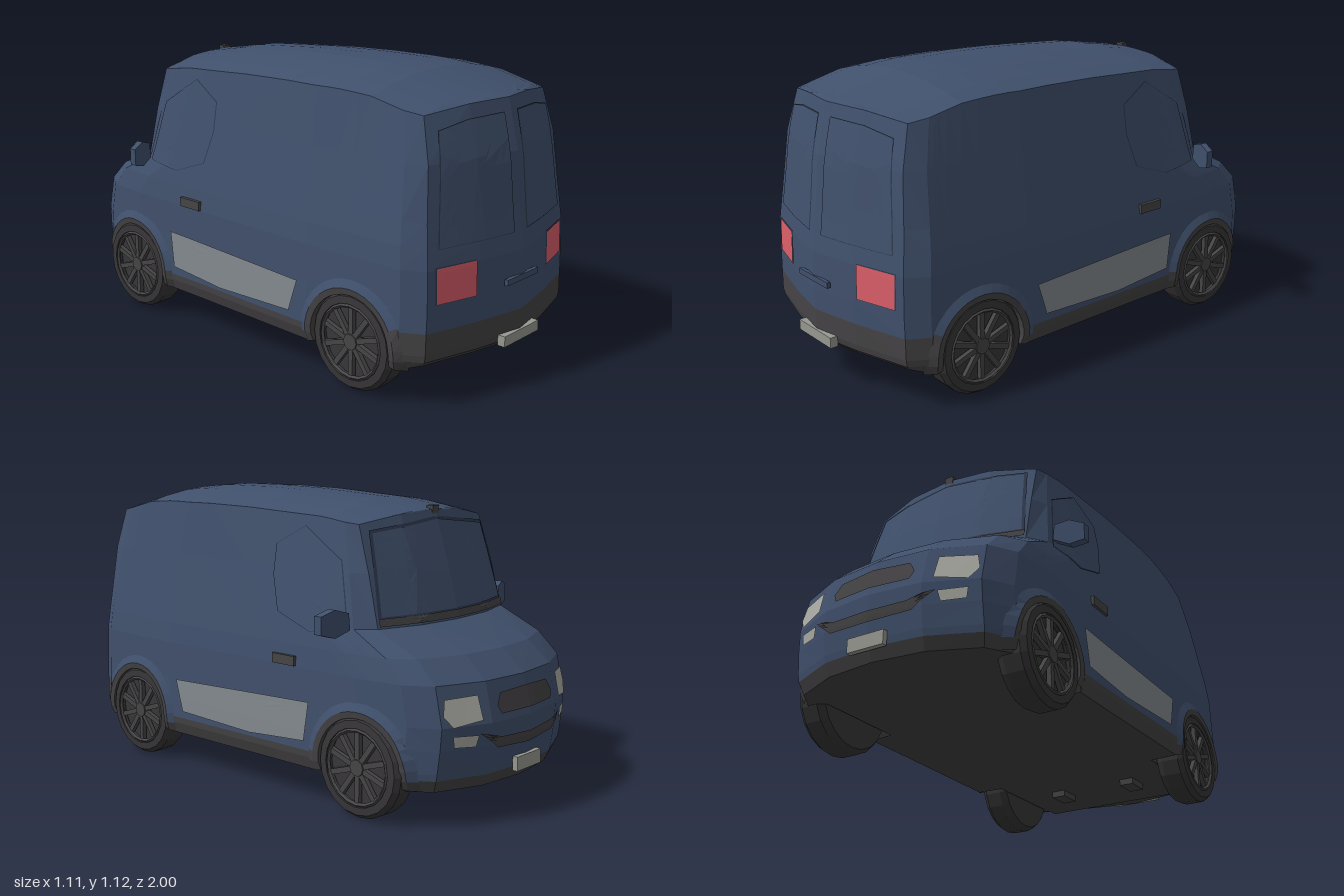
import * as THREE from 'three';

const mat = (name, color) => {
  const m = new THREE.MeshStandardMaterial({ color, flatShading: true, side: THREE.DoubleSide });
  m.name = name;
  return m;
};
const M = {
  paint: mat('blue paint', 0x40506c), trim: mat('dark plastic', 0x454345),
  tyre: mat('tyre rubber', 0x383638), rim: mat('rim metal', 0x464547),
  floor: mat('underbody black', 0x424142), red: mat('tail light red', 0xdb5e69),
  lamp: mat('lamp glass', 0xaaaaa4), panel: mat('side panel grey', 0x83898e),
  plate: mat('plate grey', 0x989892), seam: mat('seam blue', 0x2d394d),
};

// Piecewise linear lookup in [[key, values...], ...]
function look(t, k, col = 1) {
  if (k <= t[0][0]) return t[0][col];
  for (let i = 1; i < t.length; i++) {
    if (k <= t[i][0]) {
      const f = (k - t[i - 1][0]) / (t[i][0] - t[i - 1][0]);
      return t[i - 1][col] + f * (t[i][col] - t[i - 1][col]);
    }
  }
  return t[t.length - 1][col];
}

// Body rings: height, half width, nose z, tail z
const RINGS = [
  [0.13, 0.47, 0.955, 0.965], [0.175, 0.485, 0.975, 0.985], [0.2, 0.487, 0.98, 0.99], [0.28, 0.485, 0.99, 0.99],
  [0.36, 0.482, 0.995, 0.99], [0.5, 0.48, 0.96, 0.985], [0.58, 0.472, 0.87, 0.975],
  [0.66, 0.46, 0.675, 0.965], [0.85, 0.43, 0.62, 0.945], [1.04, 0.4, 0.56, 0.9],
];
// Plan outline: z fraction, x fraction at the waist, x fraction at the roof
const PLAN = [
  [-1, 0, 0], [-0.978, 0.42, 0.45], [-0.9, 0.8, 0.9], [-0.8, 0.93, 0.93], [-0.6, 0.975, 0.945], [-0.2, 0.98, 0.97],
  [0.4, 1, 1], [0.82, 0.965, 0.95], [0.9, 0.87, 0.9], [0.96, 0.42, 0.46], [1, 0, 0],
];
// Outline at a given height, as [z fraction, x fraction]
const planAt = (y) => {
  const t = Math.min(1, Math.max(0, (y - 0.58) / 0.46));
  return PLAN.map(([z, a, b]) => [z, a + (b - a) * t]);
};
// Roof centre line: z, y
const ROOF = [[-0.56, 1.055], [-0.35, 1.09], [0.1, 1.118], [0.45, 1.118], [0.6, 1.107], [0.9, 1.033]];
const roofY = (x, z) => look(ROOF, z) - 0.058 * (x / 0.395) ** 2;

const sideX = (y, z) => look(RINGS, y) * look(planAt(y), z / look(RINGS, y, z < 0 ? 2 : 3));
const endZ = (x, y, s) => {
  const plan = planAt(y);
  const end = (s < 0 ? plan.slice(0, 5) : plan.slice(6).reverse()).map(([z, f]) => [f, z]);
  return look(end, x / look(RINGS, y)) * look(RINGS, y, s < 0 ? 2 : 3);
};

const WHEEL_Z = 0.6, WHEEL_Y = 0.185, ARCH_R = 0.195;
const arch = (z) => {
  const d = Math.abs(Math.abs(z) - WHEEL_Z);
  return d < ARCH_R ? WHEEL_Y + Math.sqrt(ARCH_R ** 2 - d * d) : 0;
};
// Lower edge of the body, raised under the tail
const sillY = (c) => (c >= 0.9 ? 0.155 : 0.13);

function add(group, name, geometry, material, x = 0, y = 0, z = 0) {
  const m = new THREE.Mesh(geometry, material);
  m.name = name;
  m.position.set(x, y, z);
  group.add(m);
}
const box = (g, name, m, w, h, d, x, y, z) => add(g, name, new THREE.BoxGeometry(w, h, d), m, x, y, z);

function soup(quads) {
  const pos = [];
  for (const [a, b, c, d] of quads) pos.push(...a, ...b, ...c, ...a, ...c, ...d);
  const g = new THREE.BufferGeometry();
  g.setAttribute('position', new THREE.Float32BufferAttribute(pos, 3));
  g.computeVertexNormals();
  return g;
}
function gridQuads(rows) {
  const q = [];
  for (let i = 0; i + 1 < rows.length; i++)
    for (let j = 0; j + 1 < rows[i].length; j++)
      q.push([rows[i][j], rows[i + 1][j], rows[i + 1][j + 1], rows[i][j + 1]]);
  return q;
}

// Grow an outline about its middle
function grow(pts, d) {
  const cx = pts.reduce((s, p) => s + p[0], 0) / pts.length, cy = pts.reduce((s, p) => s + p[1], 0) / pts.length;
  return pts.map(([x, y]) => [cx + (x - cx) * d, cy + (y - cy) * d]);
}
// Thin plate that follows the body: a convex outline filled by shrinking rings
function decal(group, name, material, pts, map) {
  const n = pts.length, S = 5, rim = [];
  for (let i = 0; i < n; i++) {
    const a = pts[i], b = pts[(i + 1) % n];
    for (let k = 0; k < S; k++) rim.push([a[0] + (b[0] - a[0]) * k / S, a[1] + (b[1] - a[1]) * k / S]);
  }
  rim.push(rim[0]);
  const mid = grow(pts, 0)[0];
  const rows = [0, 0.25, 0.5, 0.75, 1].map((f) => rim.map(([x, y]) => map(mid[0] + (x - mid[0]) * f, mid[1] + (y - mid[1]) * f)));
  add(group, name, soup(gridQuads(rows)), material);
}
const onSide = (o) => (z, y) => [sideX(y, z) + o, y, z];
const onNose = (o) => (x, y) => [x, y, endZ(x, y, -1) - o];
const onTail = (o) => (x, y) => [x, y, endZ(x, y, 1) + o];
const rect = (x0, y0, x1, y1) => [[x0, y0], [x1, y0], [x1, y1], [x0, y1]];

function wheel(z) {
  const g = new THREE.Group();
  g.name = z < 0 ? 'frontWheel' : 'rearWheel';
  const turn = (geo) => geo.rotateZ(-Math.PI / 2);
  const profile = [[0, -0.055], [0.13, -0.06], [0.17, -0.065], [0.185, -0.038], [0.185, 0.03], [0.17, 0.05], [0.142, 0.052], [0.136, 0.025]];
  add(g, 'tyre', turn(new THREE.LatheGeometry(profile.map((p) => new THREE.Vector2(...p)), 20)), M.tyre);
  add(g, 'rimBack', turn(new THREE.CylinderGeometry(0.138, 0.138, 0.01, 20)), M.tyre, 0.018);
  add(g, 'rimRing', new THREE.TorusGeometry(0.134, 0.008, 4, 20).rotateY(Math.PI / 2), M.rim, 0.046);
  add(g, 'hub', turn(new THREE.CylinderGeometry(0.03, 0.038, 0.03, 10)), M.rim, 0.036);
  for (let i = 0; i < 10; i++) {
    const spoke = new THREE.BoxGeometry(0.018, 0.11, 0.02).translate(0.038, 0.08, 0).rotateX(i * Math.PI / 5);
    add(g, 'spoke', spoke, M.rim);
  }
  g.position.set(0.428, WHEEL_Y, z);
  return g;
}

function halfVan() {
  const h = new THREE.Group();
  // Body shell: columns run from nose to tail, rows from sill to roof
  const cols = [-0.3, 0, 0.25, ...PLAN.map((p) => p[0])];
  for (const s of [-1, 1])
    for (const o of [-0.2, -0.194, -0.18, -0.14, -0.075, 0, 0.075, 0.14, 0.18, 0.194, 0.2]) cols.push(s * WHEEL_Z + o);
  cols.sort((a, b) => a - b);
  const rows = RINGS.map(([y, w, zf, zr], i) => cols.map((c) => {
    const x = w * look(planAt(y), c), z = c * (c < 0 ? zf : zr);
    return [x, i === RINGS.length - 1 ? roofY(x, z) : Math.max(y, arch(c), sillY(c)), z];
  }));
  const top = rows[rows.length - 1];
  for (const f of [0.78, 0.5, 0.25, 0]) rows.push(top.map(([x, , z]) => [x * f, roofY(x * f, z), z]));
  const paint = [], trim = [], n = cols.length - 1;
  gridQuads(rows).forEach((q, k) => {
    const row = Math.floor(k / n), c = cols[k % n];
    (row === 0 || (row === 1 && c > -0.79) || (row === 2 && c > 0.78) ? trim : paint).push(q);
  });
  add(h, 'bodyShell', soup(paint), M.paint);
  add(h, 'bumpersAndSill', soup(trim), M.trim);

  // Underbody, notched at the wheels
  const floorZ = (c) => c * (c < 0 ? 0.955 : 0.965);
  add(h, 'floor', soup(gridQuads([
    cols.map((c) => [0, sillY(c), floorZ(c)]),
    cols.map((c) => [arch(c) ? 0.36 : 0.47 * look(PLAN, c), sillY(c), floorZ(c)]),
  ])), M.floor);
  box(h, 'wheelWellWall', M.floor, 0.355, 0.28, 1.7, 0.1775, 0.272, 0);
  box(h, 'axleMount', M.floor, 0.06, 0.05, 0.1, 0.165, 0.13, WHEEL_Z);

  for (const s of [-1, 1]) {
    h.add(wheel(s * WHEEL_Z));
    box(h, 'wheelWellRoof', M.floor, 0.44, 0.01, 0.4, 0.22, 0.395, s * WHEEL_Z);
    // Wheel arch: dark lip inside, painted bulge outside
    const ring = [[0.176, -0.05], [0.176, 0.01], [0.2, 0.014], [0.235, -0.002]].map(([r, o]) => {
      const line = [];
      for (let k = 0; k <= 20; k++) {
        const a = -0.25 + k / 20 * (Math.PI + 0.5);
        const y = Math.max(0.13, WHEEL_Y + r * Math.sin(a)), z = s * WHEEL_Z + r * Math.cos(a);
        line.push([sideX(y, z) + o, y, z]);
      }
      return line;
    });
    const bulge = gridQuads(ring.slice(2)), painted = (q) => q[0][1] > (s > 0 && q[0][2] > WHEEL_Z ? 0.27 : 0.2);
    add(h, 'archLip', soup([...gridQuads(ring.slice(0, 3)), ...bulge.filter((q) => !painted(q))]), M.trim);
    add(h, 'archBulge', soup(bulge.filter(painted)), M.paint);
  }

  // Side details
  const sideWindow = [[-0.28, 1], [-0.15, 0.93], [-0.15, 0.82], [-0.19, 0.69], [-0.35, 0.635], [-0.52, 0.65], [-0.46, 0.89]];
  decal(h, 'sideWindowSeal', M.seam, grow(sideWindow, 1.015), onSide(0.003));
  decal(h, 'sideWindow', M.paint, sideWindow, onSide(0.006));
  decal(h, 'sidePanel', M.panel, [[0.35, 0.355], [-0.37, 0.38], [-0.35, 0.235], [-0.07, 0.215], [0.31, 0.23]], onSide(0.006));
  box(h, 'doorHandle', M.rim, 0.02, 0.036, 0.11, sideX(0.52, -0.25) + 0.002, 0.52, -0.245);

  // Mirror, swept towards the tail
  const hex = new THREE.Shape([[0.45, 0.66], [0.505, 0.635], [0.557, 0.65], [0.557, 0.715], [0.505, 0.735], [0.455, 0.72]].map((p) => new THREE.Vector2(...p)));
  const mirror = new THREE.ExtrudeGeometry(hex, { depth: 0.032, bevelEnabled: false });
  const p = mirror.attributes.position;
  for (let i = 0; i < p.count; i++) p.setZ(i, p.getZ(i) - 0.545 + (p.getX(i) - 0.45) * 0.35);
  mirror.computeVertexNormals();
  add(h, 'mirror', mirror, M.paint);

  // Tail details
  const rearWindow = [[0.04, 0.985], [0.2, 0.98], [0.325, 0.955], [0.368, 0.57], [0.04, 0.57]];
  decal(h, 'rearWindowSeal', M.seam, grow(rearWindow, 1.012), onTail(0.003));
  decal(h, 'rearWindow', M.paint, rearWindow, onTail(0.006));
  decal(h, 'tailLightSeal', M.seam, rect(0.217, 0.377, 0.388, 0.508), onTail(0.003));
  decal(h, 'tailLight', M.red, rect(0.22, 0.38, 0.385, 0.505), onTail(0.006));

  // Nose details
  decal(h, 'windscreenSeal', M.seam, [[0, 0.69], [0, 1.03], [0.335, 0.995], [0.37, 0.69]], onNose(0.004));
  decal(h, 'windscreen', M.paint, [[0, 0.7], [0, 1.02], [0.325, 0.985], [0.358, 0.7]], onNose(0.007));
  decal(h, 'wiperStrip', M.trim, rect(0, 0.668, 0.372, 0.695), onNose(0.008));
  decal(h, 'headlight', M.lamp, [[0.24, 0.375], [0.35, 0.36], [0.38, 0.4], [0.367, 0.455], [0.245, 0.46]], onNose(0.008));
  decal(h, 'fogLight', M.lamp, [[0.265, 0.285], [0.345, 0.29], [0.35, 0.33], [0.255, 0.325]], onNose(0.008));
  decal(h, 'upperGrille', M.trim, [[0, 0.385], [0.155, 0.385], [0.17, 0.415], [0.145, 0.455], [0, 0.462]], onNose(0.006));
  decal(h, 'lowerGrille', M.trim, [[0, 0.26], [0.17, 0.268], [0.25, 0.33], [0.15, 0.305], [0, 0.3]], onNose(0.006));
  return h;
}

export function createModel() {
  const van = new THREE.Group();
  van.name = 'van';
  const left = halfVan();
  left.name = 'leftHalf';
  const right = left.clone();
  right.name = 'rightHalf';
  right.scale.x = -1;
  van.add(left, right);

  // Parts on the centre line
  box(van, 'rearPlate', M.plate, 0.215, 0.04, 0.03, 0, 0.185, 0.983);
  box(van, 'frontPlate', M.plate, 0.15, 0.052, 0.02, 0, 0.19, -0.985);
  box(van, 'tailHandle', M.paint, 0.19, 0.022, 0.014, 0, 0.4, 0.985);
  box(van, 'roofAerial', M.trim, 0.036, 0.034, 0.028, 0, 1.052, -0.55);
  return van;
}
